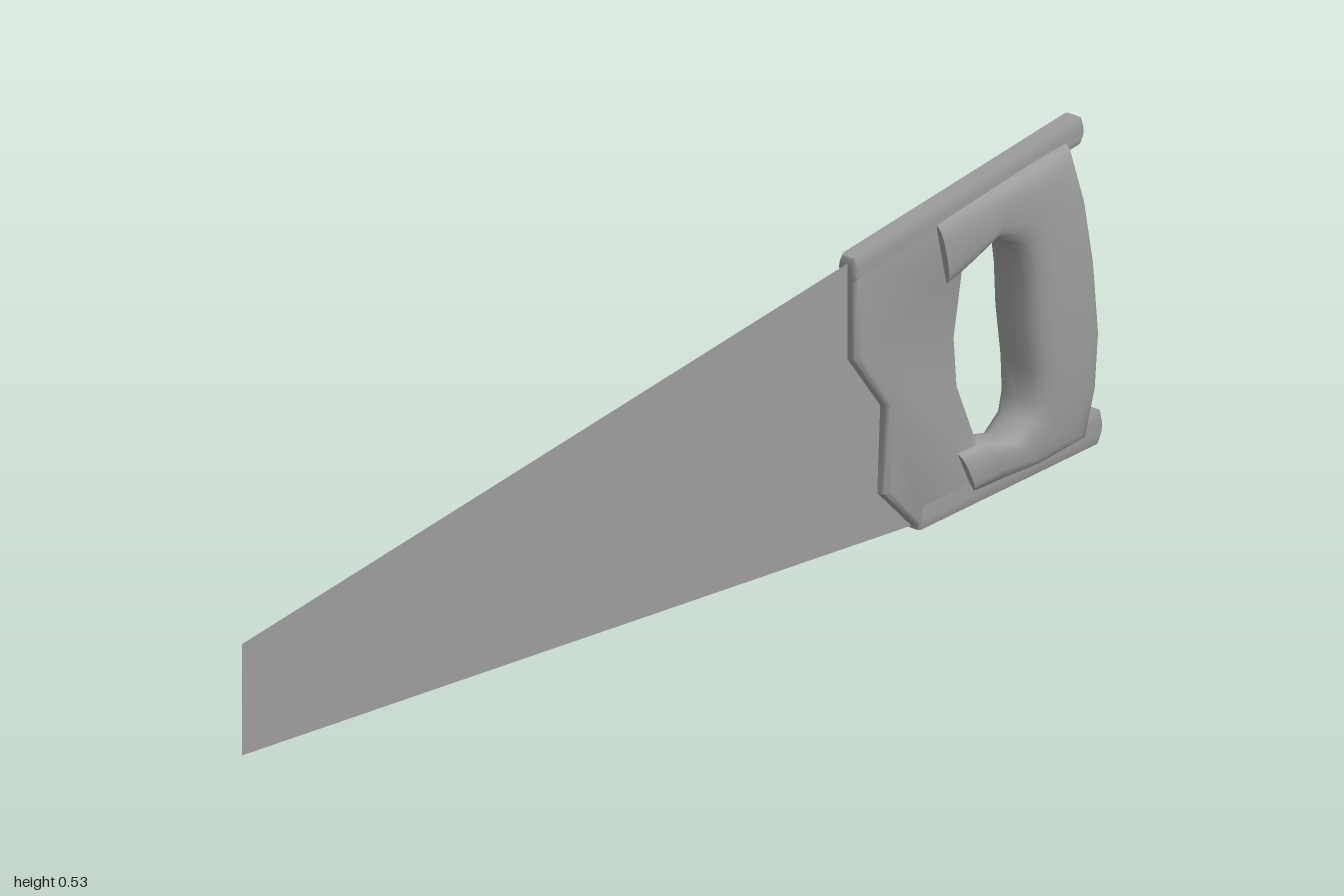
import * as THREE from 'three';
import { toCreasedNormals } from 'three/addons/utils/BufferGeometryUtils.js';

const grey = new THREE.MeshStandardMaterial({ color: 0x9c9c9c });
const thin = new THREE.MeshStandardMaterial({ color: 0x9c9c9c, side: THREE.DoubleSide });
const points = (list) => list.map(([x, y]) => new THREE.Vector2(x, y));

function addMesh(group, name, geometry, material = grey) {
  const mesh = new THREE.Mesh(geometry, material);
  mesh.name = name;
  group.add(mesh);
  return mesh;
}

// Lofted grip: each station is [outerX, outerY, innerX, innerY, halfThickness]
function loftGrip(stations, sides) {
  const pos = [], index = [];
  const soft = (v) => Math.sign(v) * Math.pow(Math.abs(v), 0.65);
  for (const [ox, oy, ix, iy, t] of stations) {
    for (let j = 0; j < sides; j++) {
      const a = (j / sides) * Math.PI * 2;
      const k = soft(Math.cos(a));
      pos.push((ox + ix) / 2 + k * (ox - ix) / 2, (oy + iy) / 2 + k * (oy - iy) / 2, t * soft(Math.sin(a)));
    }
  }
  const last = (stations.length - 1) * sides;
  for (let i = 0; i < last; i += sides) {
    for (let j = 0; j < sides; j++) {
      const a = i + j, b = i + (j + 1) % sides;
      index.push(a, b, a + sides, b, b + sides, a + sides);
    }
  }
  // Flat ends
  for (let j = 1; j < sides - 1; j++) {
    index.push(0, j + 1, j, last, last + j, last + j + 1);
  }
  const geo = new THREE.BufferGeometry();
  geo.setAttribute('position', new THREE.Float32BufferAttribute(pos, 3));
  geo.setIndex(index);
  return toCreasedNormals(geo, 0.9);
}

// Rail with a barrel section and rounded ends, running along +x from the origin
function railGeometry(length, height) {
  const h = height / 2;
  const section = new THREE.Shape(points([
    [-0.012, -h], [0.012, -h], [0.017, -h * 0.35], [0.018, 0], [0.017, h * 0.35],
    [0.012, h], [-0.012, h], [-0.017, h * 0.35], [-0.018, 0], [-0.017, -h * 0.35],
  ]));
  const geo = new THREE.ExtrudeGeometry(section, {
    depth: length - 0.016, bevelThickness: 0.008, bevelSize: 0.006, bevelOffset: -0.006, bevelSegments: 3,
  });
  geo.translate(0, 0, 0.008).rotateY(Math.PI / 2);
  return toCreasedNormals(geo, 0.9);
}

export function createModel() {
  const saw = new THREE.Group();
  saw.name = 'handSaw';

  // Tapered sheet blade
  const blade = new THREE.Shape(points([[-1, 0.345], [0.57, 0.045], [0.57, 0.52], [-1, 0.52]]));
  addMesh(saw, 'blade', new THREE.ShapeGeometry(blade), thin);

  const handle = new THREE.Group();
  handle.name = 'handle';
  saw.add(handle);

  // Flat plate clamping the blade, with the finger opening
  const plate = new THREE.Shape(points([
    [0.42, 0.515], [0.42, 0.37], [0.497, 0.265], [0.49, 0.13], [0.57, 0.045],
    [0.91, 0.03], [0.93, 0.2], [0.89, 0.5], [0.89, 0.515],
  ]));
  plate.holes.push(new THREE.Path(points([
    [0.675, 0.41], [0.735, 0.437], [0.8, 0.402], [0.82, 0.33], [0.825, 0.25], [0.835, 0.18],
    [0.83, 0.115], [0.77, 0.09], [0.71, 0.118], [0.662, 0.23], [0.655, 0.31],
  ])));
  const plateGeo = new THREE.ExtrudeGeometry(plate, {
    depth: 0.014, bevelThickness: 0.009, bevelSize: 0.012, bevelOffset: -0.012, bevelSegments: 3,
  });
  plateGeo.translate(0, 0, -0.007);
  addMesh(handle, 'handlePlate', toCreasedNormals(plateGeo, 0.7));

  // Swollen C-shaped hand grip, upper arm to lower arm
  addMesh(handle, 'grip', loftGrip([
    [0.605, 0.513, 0.632, 0.4, 0.026],
    [0.66, 0.513, 0.675, 0.408, 0.029],
    [0.76, 0.513, 0.735, 0.428, 0.034],
    [0.84, 0.513, 0.772, 0.407, 0.038],
    [0.91, 0.51, 0.79, 0.388, 0.043],
    [0.937, 0.42, 0.803, 0.335, 0.049],
    [0.957, 0.32, 0.806, 0.27, 0.05],
    [0.969, 0.2, 0.818, 0.19, 0.05],
    [0.964, 0.11, 0.818, 0.14, 0.047],
    [0.948, 0.032, 0.802, 0.12, 0.04],
    [0.84, 0.034, 0.77, 0.102, 0.034],
    [0.76, 0.042, 0.715, 0.122, 0.029],
    [0.695, 0.048, 0.655, 0.13, 0.025],
  ], 24));

  // Rounded rails along the top and bottom of the handle
  addMesh(handle, 'topRail', railGeometry(0.535, 0.042)).position.set(0.42, 0.51, 0);
  const bottom = addMesh(handle, 'bottomRail', railGeometry(0.43, 0.052));
  bottom.position.set(0.57, 0.066, 0);
  bottom.rotation.z = -0.094;

  return saw;
}
